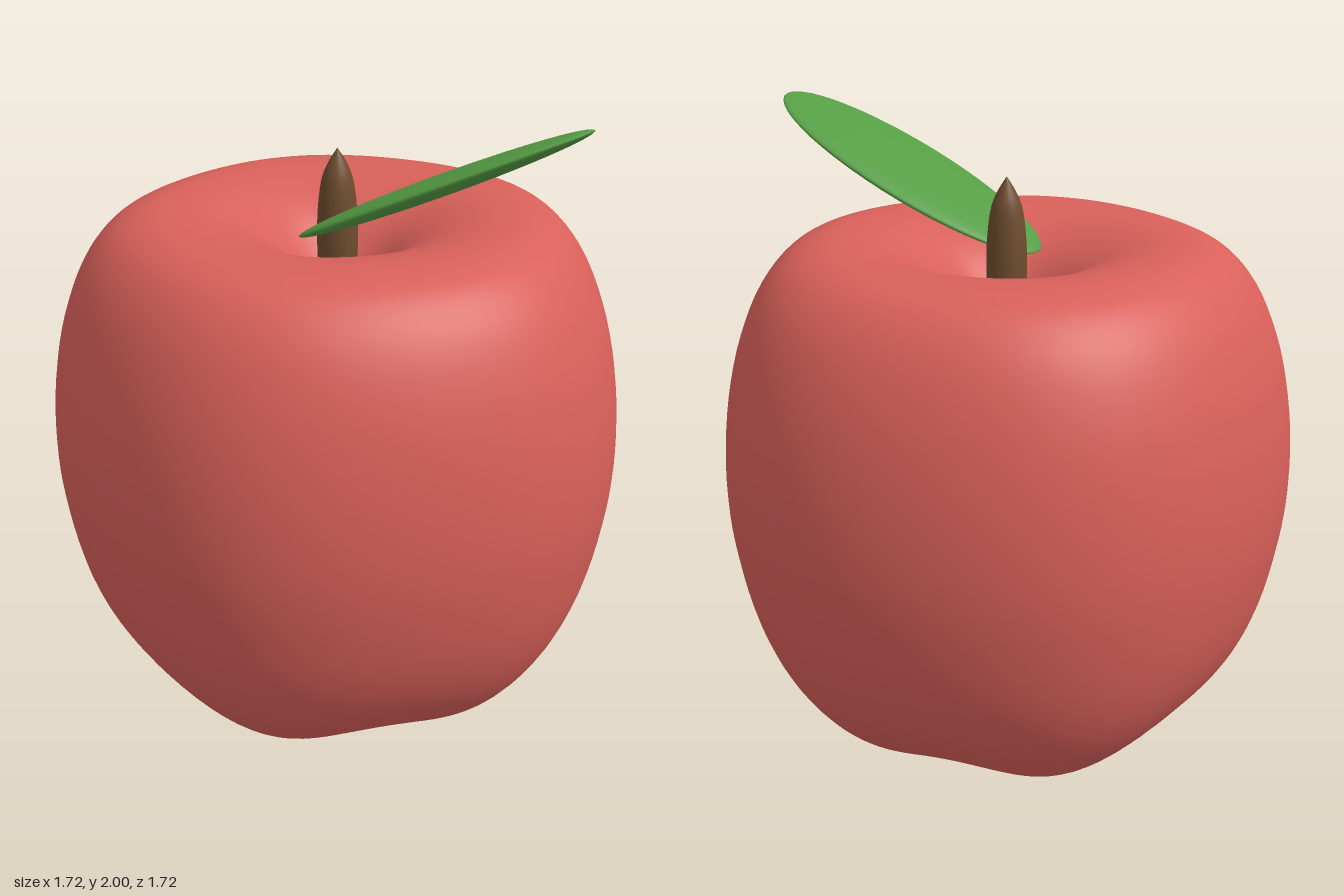
import * as THREE from 'three';
import { mergeVertices } from 'three/addons/utils/BufferGeometryUtils.js';

// Smooth lathe profile through a few [radius, height] points
function smoothProfile(points, count) {
  const curve = new THREE.CatmullRomCurve3(points.map(([r, y]) => new THREE.Vector3(r, y, 0)));
  return curve.getPoints(count).map((p) => new THREE.Vector2(Math.max(p.x, 0), p.y));
}

// Fruit body: a lathe with five soft lobes that grow toward the base
function fruitGeometry() {
  const profile = smoothProfile([
    [0, 0.07], [0.05, 0.058], [0.09, 0.025], [0.17, 0], [0.3, 0.027], [0.45, 0.085],
    [0.59, 0.185], [0.71, 0.335], [0.79, 0.51], [0.842, 0.74], [0.858, 0.93], [0.844, 1.15],
    [0.8, 1.35], [0.73, 1.51], [0.65, 1.6], [0.57, 1.636], [0.49, 1.645], [0.38, 1.63],
    [0.28, 1.592], [0.2, 1.54], [0.13, 1.465], [0.07, 1.385], [0, 1.35],
  ], 100);
  let geo = new THREE.LatheGeometry(profile, 100);
  const pos = geo.attributes.position;
  for (let i = 0; i < pos.count; i++) {
    const x = pos.getX(i), y = pos.getY(i), z = pos.getZ(i);
    const lobe = Math.cos(5 * Math.atan2(z, x));
    const low = Math.max(0, 1 - y / 0.7) ** 2;
    const scale = 1 + lobe * (0.012 + 0.025 * low);
    const lift = 0.024 * (1 - lobe) * low * THREE.MathUtils.smoothstep(Math.hypot(x, z), 0.04, 0.2);
    pos.setXYZ(i, x * scale, y + lift, z * scale);
  }
  // Weld the seam so the shading stays smooth all round
  geo.deleteAttribute('uv');
  geo.deleteAttribute('normal');
  geo = mergeVertices(geo, 1e-5);
  geo.computeVertexNormals();
  return geo;
}

export function createModel() {
  const red = new THREE.MeshStandardMaterial({ name: 'appleRed', color: 0xd9605a });
  const brown = new THREE.MeshStandardMaterial({ name: 'stemBrown', color: 0x6e4c2e });
  const green = new THREE.MeshStandardMaterial({ name: 'leafGreen', color: 0x559d44 });

  const model = new THREE.Group();
  model.name = 'apple';
  const add = (name, geometry, material) => {
    const mesh = new THREE.Mesh(geometry, material);
    mesh.name = name;
    model.add(mesh);
    return mesh;
  };

  const fruit = add('fruit', fruitGeometry(), red);
  fruit.position.x = -0.009;

  // Stem: slightly swollen, with a pointed tip
  const stemProfile = smoothProfile([
    [0, 1.33], [0.042, 1.36], [0.057, 1.47], [0.06, 1.57], [0.056, 1.66], [0.044, 1.74],
    [0.025, 1.785], [0, 1.825],
  ], 28);
  const stem = add('stem', new THREE.LatheGeometry(stemProfile, 20), brown);
  stem.position.x = -0.012;

  // Leaf: a thin ellipsoid swung sideways, then tilted upward
  const leaf = add('leaf', new THREE.SphereGeometry(1, 48, 32), green);
  leaf.scale.set(0.468, 0.03, 0.183);
  leaf.rotation.set(0, 0.204, 0.464, 'ZYX');
  leaf.position.set(0.362, 1.79, 0.018);

  return model;
}
